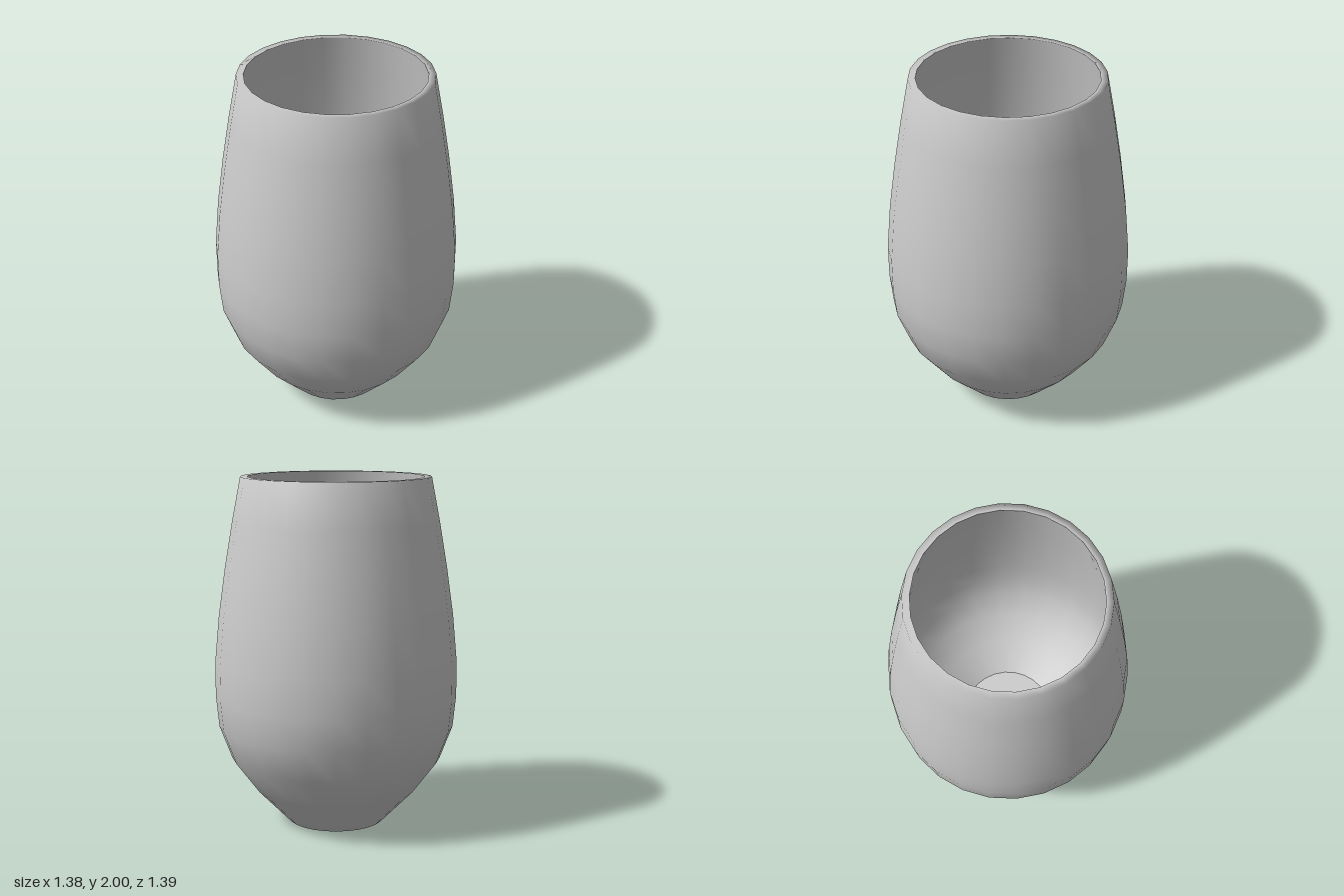
import * as THREE from 'three';

const SEGMENTS = 26;

// Revolves [radius, height] pairs; the surface faces left-to-right order of a rising outer wall.
function addLathe(group, name, profile, flatShading = false) {
  const points = profile.map(([r, y]) => new THREE.Vector2(r, y));
  const material = new THREE.MeshStandardMaterial({ color: 0xcccccc, flatShading });
  const mesh = new THREE.Mesh(new THREE.LatheGeometry(points, SEGMENTS), material);
  mesh.name = name;
  group.add(mesh);
}

export function createModel() {
  const glass = new THREE.Group();
  glass.name = 'stemlessGlass';

  // Outer bowl, running smoothly over the flat rim
  addLathe(glass, 'outerWall', [
    [0.275, 0], [0.47, 0.2], [0.605, 0.38], [0.677, 0.57], [0.695, 0.75], [0.695, 0.95],
    [0.67, 1.22], [0.632, 1.49], [0.588, 1.75], [0.54, 2], [0.5, 2],
  ]);

  // Inside of the bowl, from the rim down to the floor
  addLathe(glass, 'innerWall', [
    [0.5, 2], [0.55, 1.75], [0.594, 1.49], [0.632, 1.22], [0.656, 0.95], [0.656, 0.77],
    [0.635, 0.6], [0.56, 0.43], [0.43, 0.29], [0.27, 0.15],
  ]);
  addLathe(glass, 'innerFloor', [[0.27, 0.15], [0, 0.15]]);

  // Hollow under the base with a small round nub in its middle
  addLathe(glass, 'baseHollowWall', [[0.21, 0.105], [0.275, 0]], true);
  addLathe(glass, 'baseHollowRoof', [[0.08, 0.105], [0.21, 0.105]]);
  addLathe(glass, 'nubSide', [[0.08, 0.08], [0.08, 0.105]]);
  addLathe(glass, 'nubFace', [[0, 0.08], [0.08, 0.08]]);

  return glass;
}
